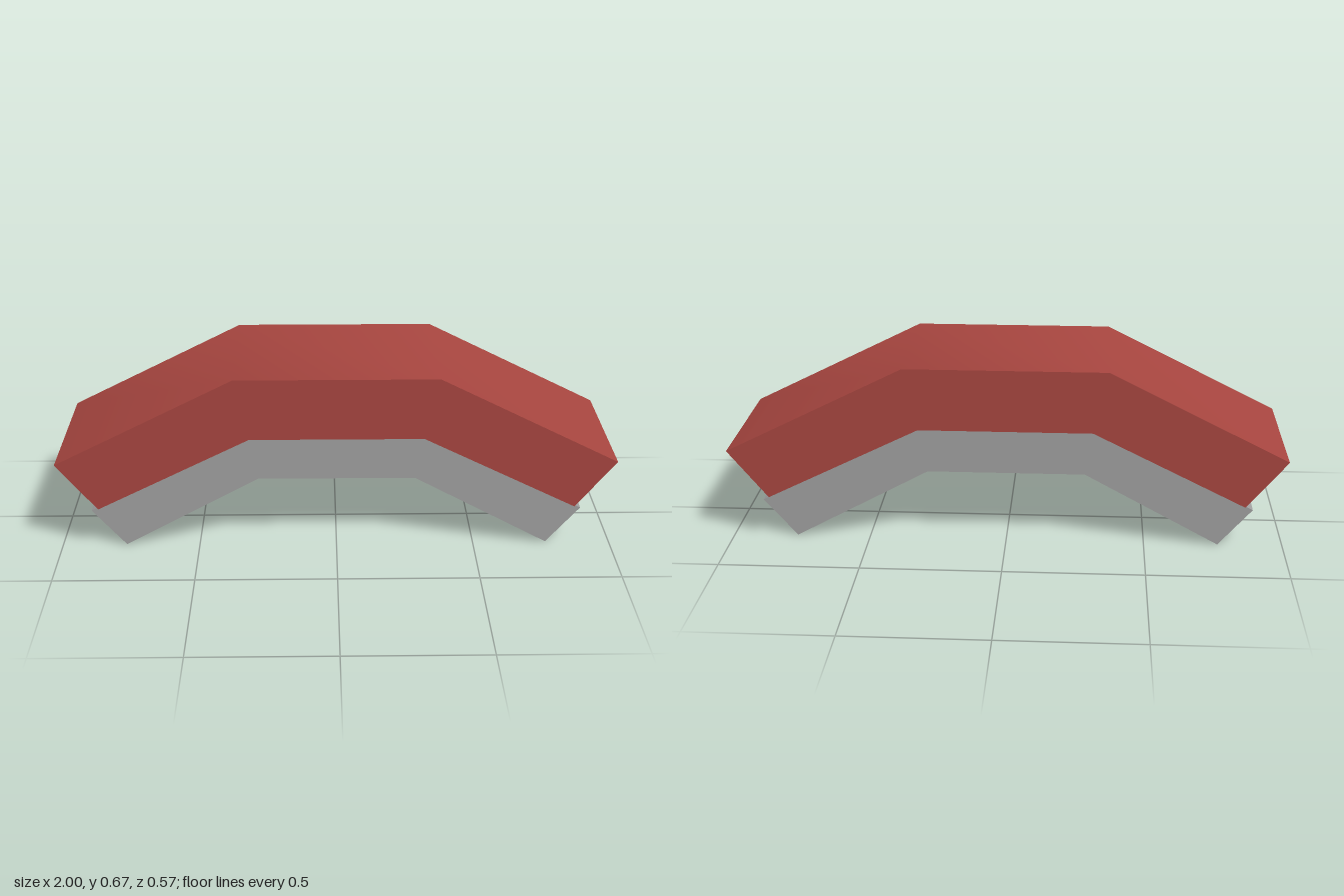
import * as THREE from 'three';
import { toCreasedNormals } from 'three/addons/utils/BufferGeometryUtils.js';

const red = new THREE.MeshStandardMaterial({ color: 0xa84640 });
red.name = 'brick red';
const grey = new THREE.MeshStandardMaterial({ color: 0xa0a0a0 });
grey.name = 'stone grey';

// Bent band: right half given from top bend to bottom bend, mirrored in x, extruded along z
function band(name, half, depth, material) {
  const mirrored = half.map(([x, y]) => [-x, y]).reverse();
  const shape = new THREE.Shape([...half, ...mirrored].map(([x, y]) => new THREE.Vector2(x, y)));
  const extruded = new THREE.ExtrudeGeometry(shape, { depth, bevelEnabled: false });
  extruded.translate(0, 0, -depth / 2);
  // Smooth over the shallow bends, sharp everywhere else
  const mesh = new THREE.Mesh(toCreasedNormals(extruded, 0.7), material);
  mesh.name = name;
  return mesh;
}

export function createModel() {
  const model = new THREE.Group();
  model.name = 'bentArch';
  // Wide upper cover
  model.add(band('upperCover', [[0.362, 0.665], [1, 0.346], [0.855, 0.171], [0.31, 0.44]], 0.574, red));
  // Narrower lining beneath it
  model.add(band('lowerLining', [[0.305, 0.443], [0.888, 0.138], [0.767, 0], [0.283, 0.262]], 0.46, grey));
  return model;
}
